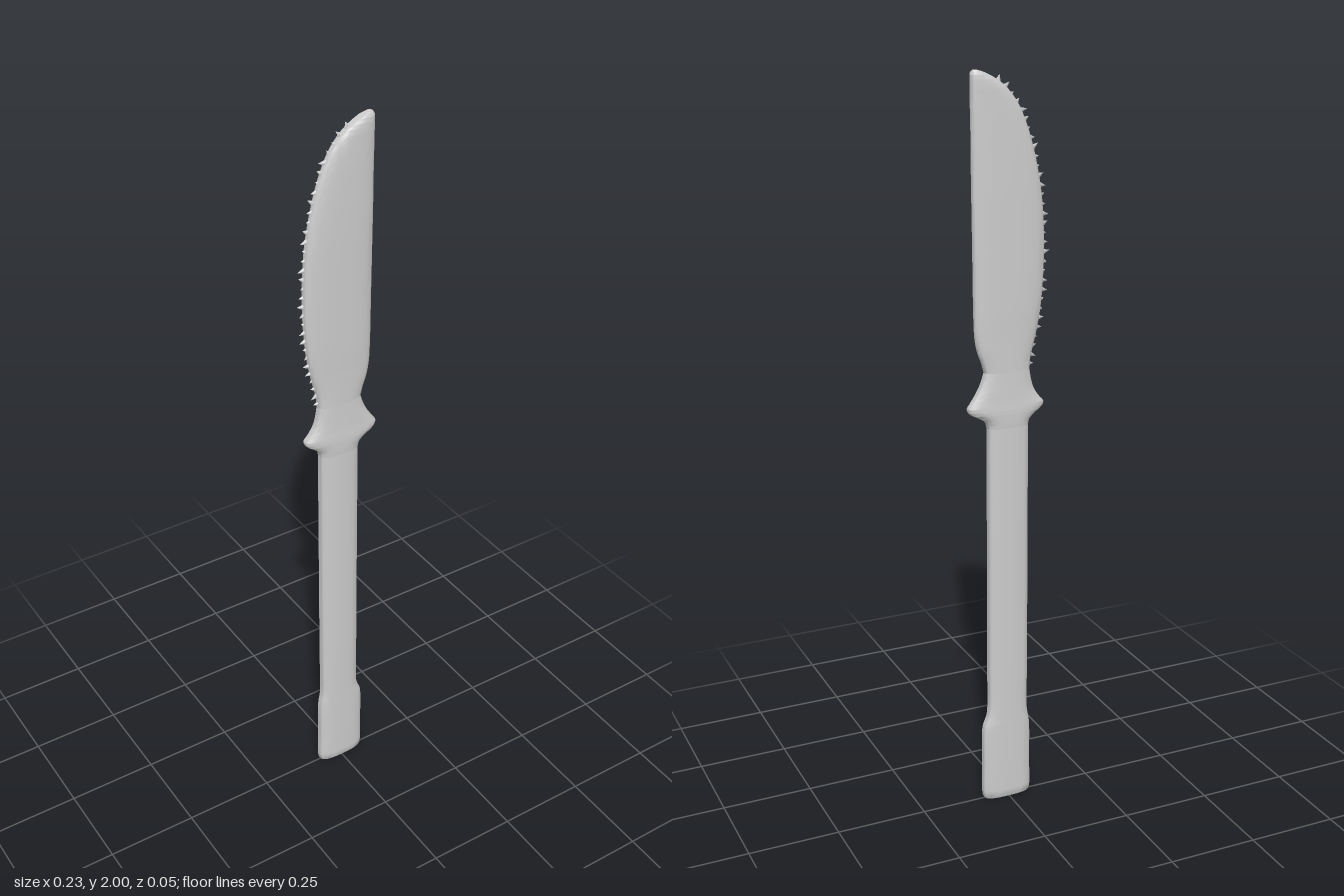
import * as THREE from 'three';
import { toCreasedNormals } from 'three/addons/utils/BufferGeometryUtils.js';

const SIDES = 32;

// Outline rows, bottom to top: height, left edge x, right edge x, half thickness
const HANDLE = [
  [0, -0.062, 0.066, 0.019], [0.008, -0.068, 0.072, 0.022], [0.1, -0.068, 0.073, 0.023],
  [0.2, -0.068, 0.073, 0.023], [0.225, -0.066, 0.07, 0.023], [0.26, -0.06, 0.058, 0.023],
  [0.4, -0.06, 0.056, 0.024], [0.8, -0.06, 0.055, 0.024], [1.09, -0.06, 0.055, 0.024],
];
const GUARD = [
  [1.09, -0.06, 0.055, 0.024], [1.105, -0.064, 0.06, 0.025], [1.12, -0.08, 0.08, 0.025],
  [1.135, -0.1, 0.106, 0.025], [1.147, -0.105, 0.111, 0.024], [1.16, -0.094, 0.103, 0.023],
  [1.185, -0.077, 0.086, 0.022], [1.21, -0.069, 0.073, 0.021], [1.24, -0.064, 0.063, 0.02],
];
const BLADE = [
  [1.24, -0.064, 0.063, 0.02], [1.265, -0.066, 0.07, 0.02], [1.295, -0.073, 0.081, 0.02],
  [1.33, -0.082, 0.088, 0.02], [1.4, -0.095, 0.091, 0.021], [1.5, -0.103, 0.092, 0.021],
  [1.6, -0.103, 0.093, 0.021], [1.7, -0.095, 0.094, 0.021], [1.8, -0.075, 0.095, 0.02],
  [1.87, -0.053, 0.095, 0.019], [1.92, -0.029, 0.096, 0.018], [1.96, 0.004, 0.096, 0.017],
  [1.98, 0.032, 0.096, 0.015], [1.993, 0.057, 0.095, 0.012], [2.0, 0.077, 0.09, 0.006],
];

// Skin of flattened oval cross-sections through the rows
function loft(name, rows, capBottom, capTop) {
  const edges = new THREE.CatmullRomCurve3(rows.map(([y, l, r]) => new THREE.Vector3(l, y, r)));
  const pos = [], index = [], steps = (rows.length - 1) * 4;
  const addRing = (y, l, r, h) => {
    for (let j = 0; j < SIDES; j++) {
      const a = (j / SIDES) * Math.PI * 2, c = Math.cos(a), s = Math.sin(a);
      const x = Math.sign(c) * Math.abs(c) ** 0.75, z = Math.sign(s) * Math.abs(s) ** 0.75;
      pos.push((l + r) / 2 + x * (r - l) / 2, y, z * h);
    }
  };
  for (let i = 0; i <= steps; i++) {
    const p = edges.getPoint(i / steps);
    const k = Math.min(Math.floor(i / 4), rows.length - 2);
    addRing(p.y, p.x, p.z, THREE.MathUtils.lerp(rows[k][3], rows[k + 1][3], i / 4 - k));
  }
  for (let i = 0; i < steps; i++) {
    for (let j = 0; j < SIDES; j++) {
      const a = i * SIDES + j, b = i * SIDES + (j + 1) % SIDES;
      index.push(a, a + SIDES, b, b, a + SIDES, b + SIDES);
    }
  }
  const cap = (ring, row, up) => {
    const centre = pos.length / 3;
    pos.push((row[1] + row[2]) / 2, row[0], 0);
    for (let j = 0; j < SIDES; j++) {
      const a = ring * SIDES + j, b = ring * SIDES + (j + 1) % SIDES;
      index.push(centre, up ? b : a, up ? a : b);
    }
  };
  if (capBottom) cap(0, rows[0], false);
  if (capTop) cap(steps, rows[rows.length - 1], true);
  const geometry = new THREE.BufferGeometry();
  geometry.setAttribute('position', new THREE.Float32BufferAttribute(pos, 3));
  geometry.setIndex(index);
  const mesh = new THREE.Mesh(toCreasedNormals(geometry, 0.8), material);
  mesh.name = name;
  return mesh;
}

const material = new THREE.MeshStandardMaterial({ color: 0xcccccc });

// Small uneven teeth standing along the curved cutting edge
function serration() {
  const group = new THREE.Group();
  group.name = 'serratedEdge';
  const edge = new THREE.CatmullRomCurve3(
    BLADE.slice(0, 13).map(([y, l]) => new THREE.Vector3(l, y, 0)));
  const cone = new THREE.ConeGeometry(1, 1, 6);
  const up = new THREE.Vector3(0, 1, 0);
  const count = 32;
  for (let i = 0; i < count; i++) {
    const t = (i + 0.5) / count;
    const p = edge.getPointAt(t), d = edge.getTangentAt(t);
    const tilt = 0.35 * Math.sin(i * 2.4);
    const out = new THREE.Vector3(-d.y, d.x, 0).applyAxisAngle(new THREE.Vector3(0, 0, 1), tilt);
    const length = 0.021 + 0.005 * Math.sin(i * 1.7);
    const tooth = new THREE.Mesh(cone, material);
    tooth.name = 'tooth';
    tooth.scale.set(0.011, length, 0.006);
    tooth.quaternion.setFromUnitVectors(up, out);
    tooth.position.copy(p).addScaledVector(out, length / 2 - 0.009);
    group.add(tooth);
  }
  return group;
}

export function createModel() {
  const model = new THREE.Group();
  model.name = 'knife';
  model.add(
    loft('handle', HANDLE, true, false),
    loft('guard', GUARD, false, false),
    loft('blade', BLADE, false, true),
    serration(),
  );
  return model;
}
